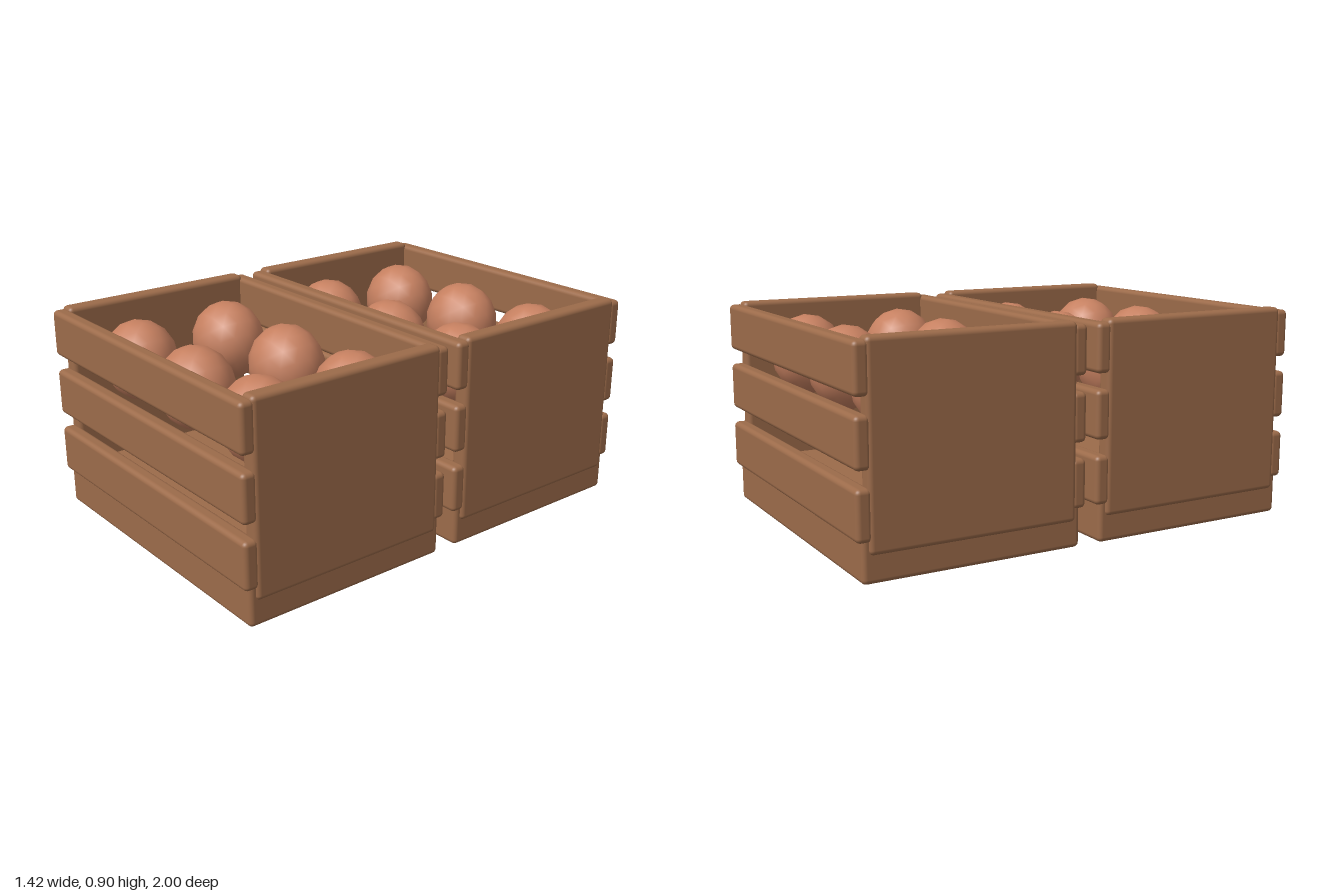
import * as THREE from 'three';
import { RoundedBoxGeometry } from 'three/addons/geometries/RoundedBoxGeometry.js';

const wood = new THREE.MeshStandardMaterial({ color: 0x9c6b4a });
wood.name = 'wood';
const fruitSkin = new THREE.MeshStandardMaterial({ color: 0xc68060 });
fruitSkin.name = 'fruitSkin';

// Rounded board given by its extents on each axis
function board(name, [x0, x1], [y0, y1], [z0, z1]) {
  const geometry = new RoundedBoxGeometry(x1 - x0, y1 - y0, z1 - z0, 3, 0.02);
  const mesh = new THREE.Mesh(geometry, wood);
  mesh.name = name;
  mesh.position.set((x0 + x1) / 2, (y0 + y1) / 2, (z0 + z1) / 2);
  return mesh;
}

function createCrate() {
  const crate = new THREE.Group();
  crate.name = 'crate';

  // Thick floor
  crate.add(board('base', [-0.695, 0.695], [0, 0.2], [-0.465, 0.465]));

  // Solid end panels
  crate.add(board('leftEndPanel', [0.635, 0.708], [0.11, 0.903], [-0.44, 0.44]));
  crate.add(board('rightEndPanel', [-0.708, -0.635], [0.11, 0.903], [-0.44, 0.44]));

  // Three slats along each long side
  for (const y of [0.16, 0.425, 0.69]) {
    crate.add(board('frontSlat', [-0.705, 0.705], [y, y + 0.2], [0.424, 0.488]));
    crate.add(board('backSlat', [-0.705, 0.705], [y, y + 0.2], [-0.488, -0.424]));
  }

  // Two rows of three fruit
  const fruitGeometry = new THREE.IcosahedronGeometry(1, 2);
  for (const x of [-0.44, 0, 0.44]) {
    for (const z of [-0.222, 0.224]) {
      const fruit = new THREE.Mesh(fruitGeometry, fruitSkin);
      fruit.name = 'fruit';
      fruit.scale.set(0.175, 0.175, 0.157);
      fruit.position.set(x, 0.683, z);
      crate.add(fruit);
    }
  }
  return crate;
}

export function createModel() {
  const model = new THREE.Group();
  model.name = 'fruitCrates';
  for (const z of [0.512, -0.512]) {
    const crate = createCrate();
    crate.position.z = z;
    model.add(crate);
  }
  return model;
}
